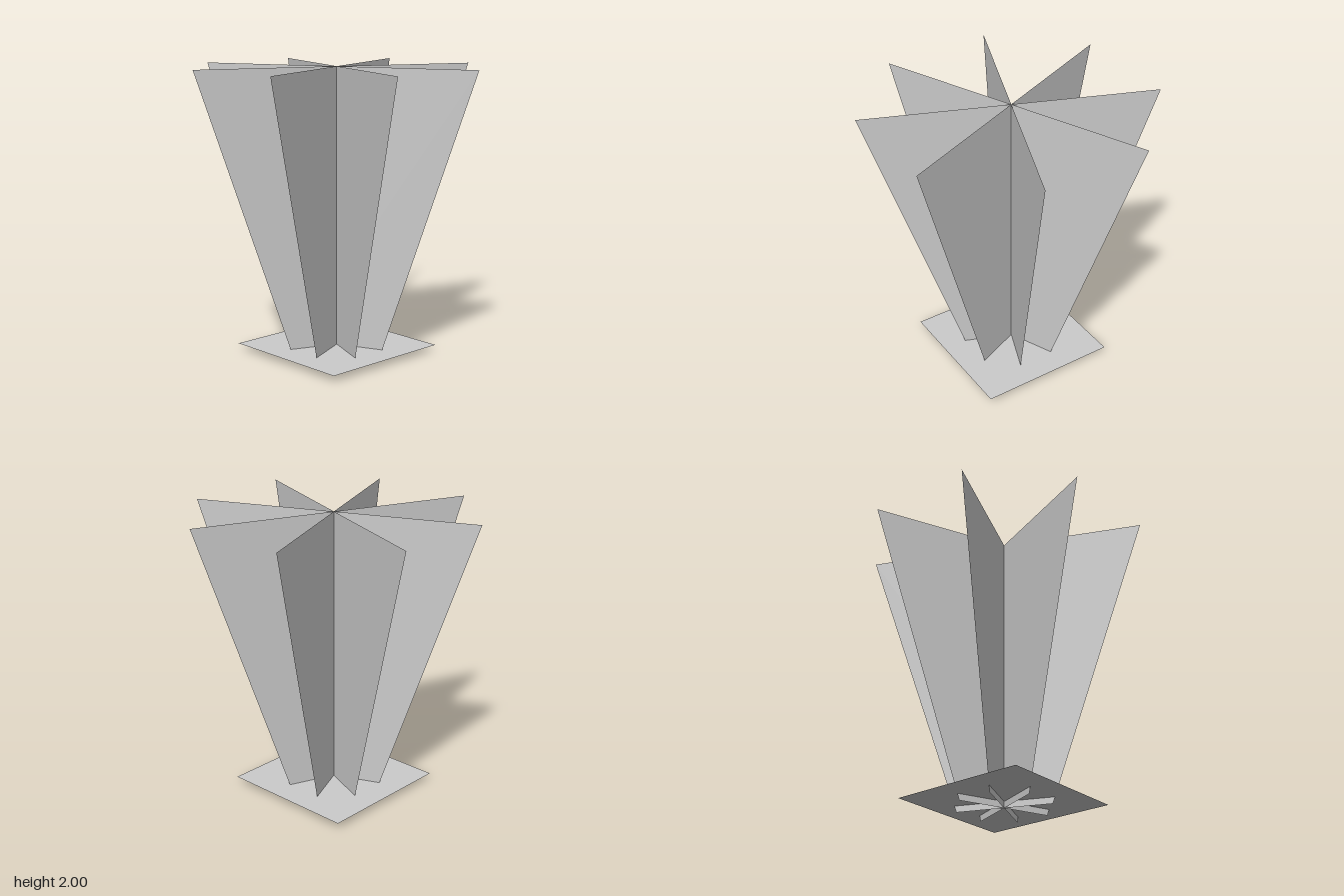
import * as THREE from 'three';

const BOTTOM = 0.33, TOP = 1, HEIGHT = 2; // blade half widths and height

export function createModel() {
  const group = new THREE.Group();
  const material = new THREE.MeshStandardMaterial({
    color: 0xcccccc, side: THREE.DoubleSide, flatShading: true,
  });

  // Four tapered sheets crossing on the vertical axis
  const outline = new THREE.Shape([
    new THREE.Vector2(-BOTTOM, 0),
    new THREE.Vector2(BOTTOM, 0),
    new THREE.Vector2(TOP, HEIGHT),
    new THREE.Vector2(-TOP, HEIGHT),
  ]);
  const bladeGeometry = new THREE.ShapeGeometry(outline);
  for (let i = 0; i < 4; i++) {
    const blade = new THREE.Mesh(bladeGeometry, material);
    blade.name = `blade${i + 1}`;
    blade.rotation.y = (i * Math.PI) / 4;
    group.add(blade);
  }

  // Turned square sheet just above the lower ends of the blades
  const baseGeometry = new THREE.PlaneGeometry(0.983, 0.983);
  baseGeometry.rotateX(-Math.PI / 2);
  const base = new THREE.Mesh(baseGeometry, material);
  base.name = 'basePlate';
  base.rotation.y = THREE.MathUtils.degToRad(-23.1);
  base.position.y = 0.045;
  group.add(base);

  return group;
}
